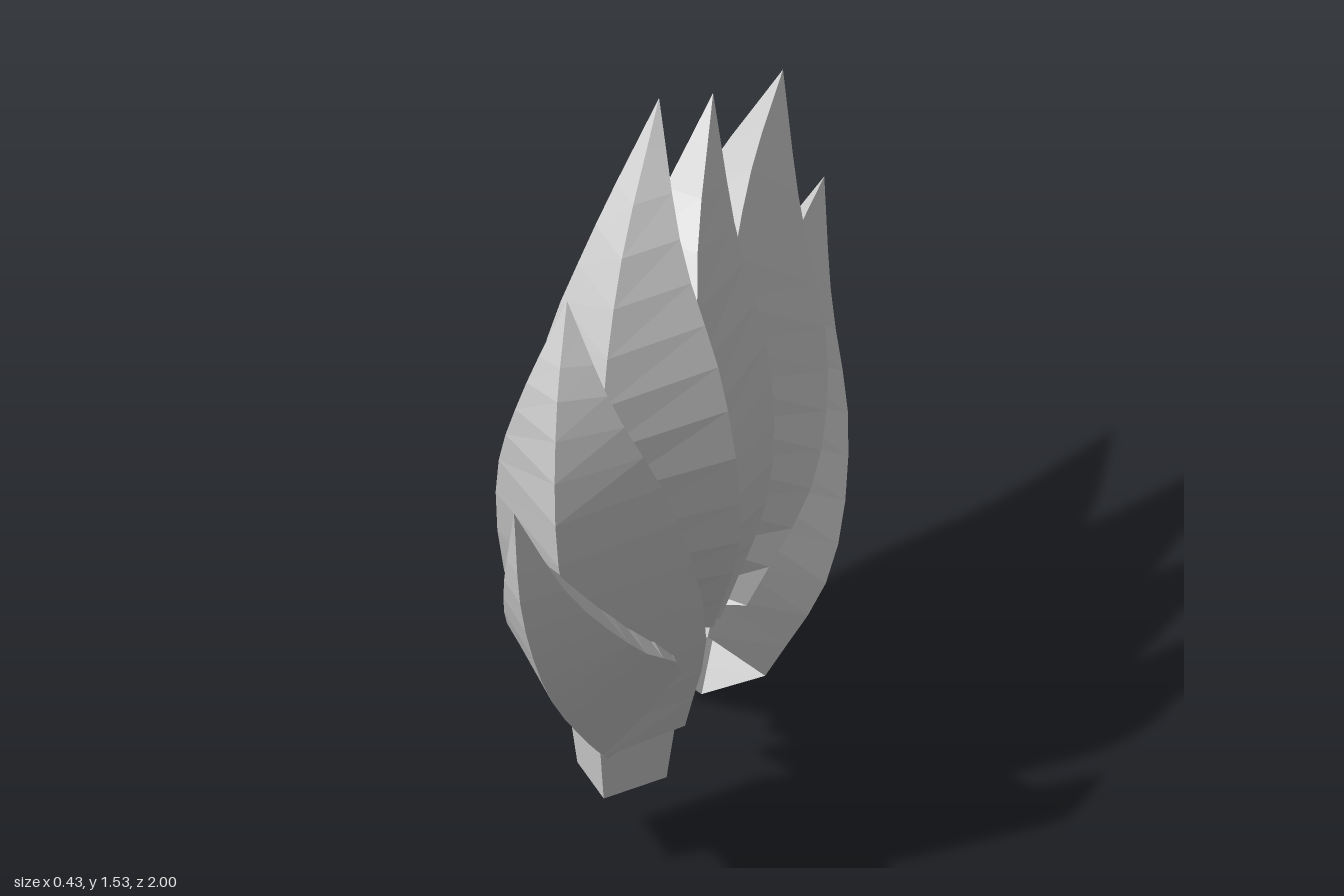
import * as THREE from 'three';

const SEGMENTS = 13;
// Every blade swells and thins by the same share of its width, base to tip
const SWELL = [0.6, 1, 0.89, 0.45];

const grey = new THREE.MeshStandardMaterial({
  color: 0xcccccc, flatShading: true, side: THREE.DoubleSide,
});
grey.name = 'light grey';

// A curved four-sided blade, open at the base.
// front and back are its ridges as [z, y], base to tip.
// skew: how far the side edges slide between the ridges (0.5 = halfway)
// twist: sideways shift of the ridges as a share of the half width
function makeSpike(name, { front, back, tip, width, skew = 0.5, twist = 0, tipX = -0.03 }) {
  const corners = [[], [], [], []];
  SWELL.forEach((swell, i) => {
    const w = width * swell;
    const lean = tipX * (i / SWELL.length) ** 2;
    const slide = 0.5 + (skew - 0.5) * Math.min(1, i / 1.5);
    const [fz, fy] = front[i];
    const [bz, by] = back[i];
    const corner = (x, t) => new THREE.Vector3(
      lean + x, THREE.MathUtils.lerp(fy, by, t), THREE.MathUtils.lerp(fz, bz, t));
    corners[0].push(corner(twist * w, 0));
    corners[1].push(corner(w, slide));
    corners[2].push(corner(-twist * w, 1));
    corners[3].push(corner(-w, 1 - slide));
  });
  const tipPoint = new THREE.Vector3(tipX, tip[1], tip[0]);
  const curves = corners.map((c) => new THREE.CatmullRomCurve3([...c, tipPoint]));

  const positions = [];
  for (let i = 0; i <= SEGMENTS; i++) {
    for (const c of curves) positions.push(...c.getPoint(i / SEGMENTS).toArray());
  }
  const index = [];
  for (let i = 0; i < SEGMENTS; i++) {
    for (let j = 0; j < 4; j++) {
      const a = i * 4 + j;
      const b = i * 4 + (j + 1) % 4;
      index.push(a, b, b + 4);
      if (i < SEGMENTS - 1) index.push(a, b + 4, a + 4);
    }
  }
  const indexed = new THREE.BufferGeometry();
  indexed.setAttribute('position', new THREE.Float32BufferAttribute(positions, 3));
  indexed.setIndex(index);
  const geometry = indexed.toNonIndexed();
  geometry.computeVertexNormals();
  const mesh = new THREE.Mesh(geometry, grey);
  mesh.name = name;
  return mesh;
}

export function createModel() {
  const group = new THREE.Group();
  group.name = 'spikeCrest';

  // Front spikes, curling forwards
  group.add(makeSpike('firstFrontSpike', {
    front: [[0.43, 0.25], [0.58, 0.38], [0.83, 0.64], [0.975, 0.91]],
    back: [[0.29, 0.41], [0.31, 0.62], [0.48, 0.68], [0.78, 0.89]],
    tip: [1, 1.145], width: 0.15, tipX: -0.015,
  }));
  group.add(makeSpike('secondFrontSpike', {
    front: [[0.48, 0.29], [0.63, 0.58], [0.755, 0.93], [0.725, 1.22]],
    back: [[0.19, 0.31], [0.25, 0.6], [0.42, 1.0], [0.59, 1.21]],
    tip: [0.62, 1.41], width: 0.2,
  }));

  // Upright spikes
  group.add(makeSpike('tallSpike', {
    front: [[0.25, 0.44], [0.45, 0.72], [0.47, 1.03], [0.33, 1.31]],
    back: [[0.1, 0.43], [0.06, 0.7], [0.08, 1.07], [0.115, 1.32]],
    tip: [0.04, 1.54], width: 0.21,
  }));
  group.add(makeSpike('middleSpike', {
    front: [[0.18, 0.43], [0.22, 0.65], [0.2, 0.85], [0.03, 1.16]],
    back: [[-0.06, 0.34], [-0.15, 0.62], [-0.2, 0.88], [-0.22, 1.12]],
    tip: [-0.3, 1.355], width: 0.172, skew: 0.8, twist: 0.8,
  }));

  // Rear spikes, sweeping backwards
  group.add(makeSpike('firstRearSpike', {
    front: [[0.02, 0.42], [0, 0.72], [-0.13, 0.936], [-0.4, 1.105]],
    back: [[-0.1, 0.3], [-0.36, 0.46], [-0.52, 0.66], [-0.585, 0.93]],
    tip: [-0.74, 1.155], width: 0.207, skew: 0.66, twist: 0.3,
  }));
  group.add(makeSpike('secondRearSpike', {
    front: [[-0.06, 0.26], [-0.17, 0.49], [-0.38, 0.68], [-0.65, 0.785]],
    back: [[-0.25, 0.005], [-0.45, 0.09], [-0.66, 0.29], [-0.79, 0.54]],
    tip: [-1, 0.76], width: 0.208, twist: 0.3,
  }));

  // Tapered four-sided stump under the second front spike
  const stump = new THREE.Mesh(new THREE.CylinderGeometry(0.142, 0.115, 0.15, 4, 1, true), grey);
  stump.name = 'stump';
  stump.scale.x = 0.8;
  stump.position.set(-0.01, 0.25, 0.335);
  group.add(stump);

  return group;
}
